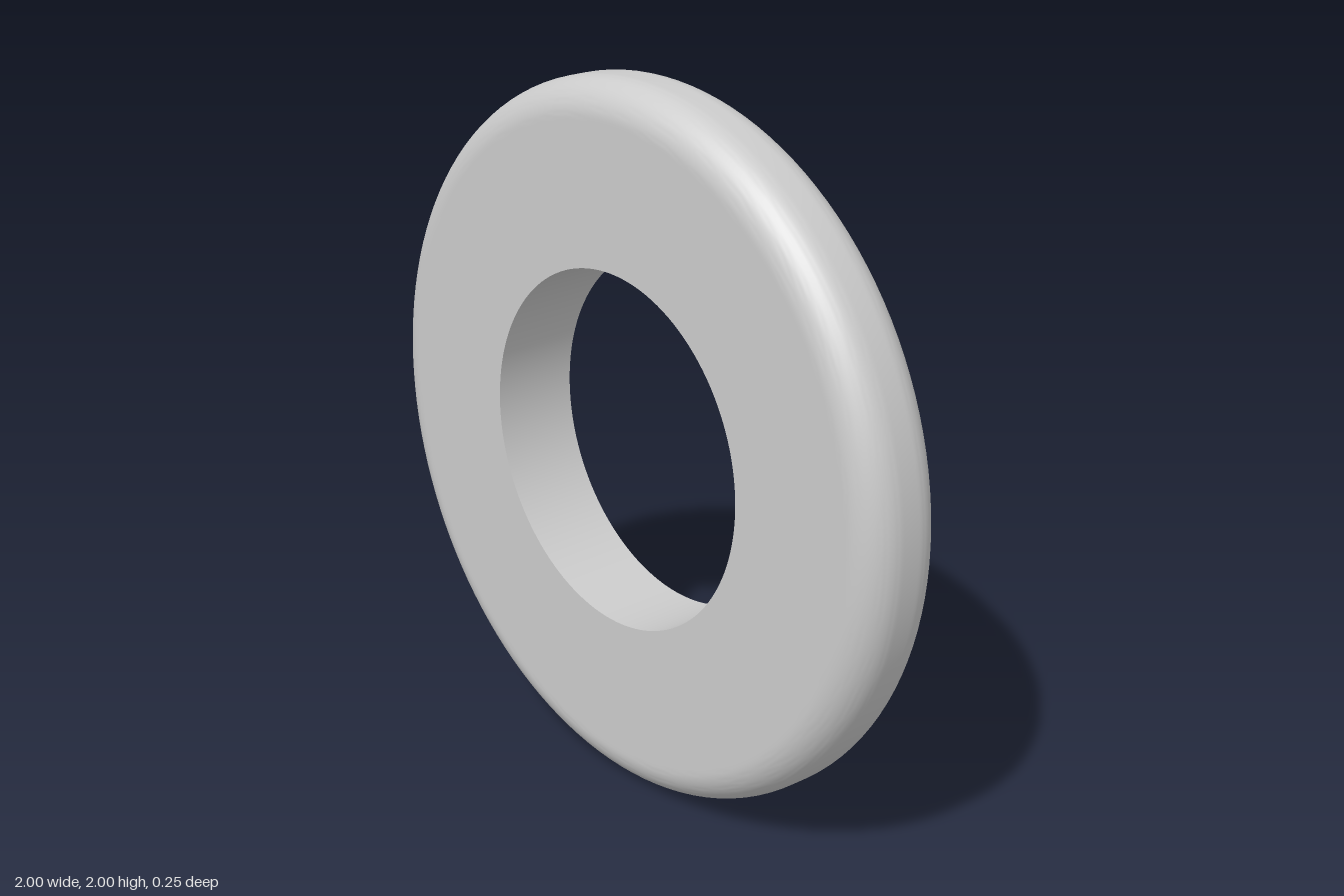
import * as THREE from 'three';
import { toCreasedNormals } from 'three/addons/utils/BufferGeometryUtils.js';

const OUTER = 1, INNER = 0.5, HALF = 0.125, FILLET = 0.1;

export function createModel() {
  const group = new THREE.Group();
  group.name = 'ring';

  // Cross-section: flat faces, rounded outer rim, sharp-edged bore
  const c = OUTER - FILLET, h = HALF - FILLET;
  const profile = new THREE.Path();
  profile.moveTo(INNER, -HALF);
  profile.lineTo(c - 0.01, -HALF); // support loop keeps the face shading flat
  profile.lineTo(c, -HALF);
  profile.absarc(c, -h, FILLET, -Math.PI / 2, 0, false);
  profile.lineTo(OUTER, h);
  profile.absarc(c, h, FILLET, 0, Math.PI / 2, false);
  profile.lineTo(c - 0.01, HALF);
  profile.lineTo(INNER, HALF);
  profile.lineTo(INNER, -HALF);

  // Revolve, then stand upright with the axis along z
  const lathe = new THREE.LatheGeometry(profile.getPoints(10), 128);
  lathe.rotateX(Math.PI / 2);
  const washer = new THREE.Mesh(
    toCreasedNormals(lathe, Math.PI / 5),
    new THREE.MeshStandardMaterial({ color: 0xcccccc })
  );
  washer.name = 'roundedWasher';
  washer.position.y = OUTER;
  group.add(washer);
  return group;
}
